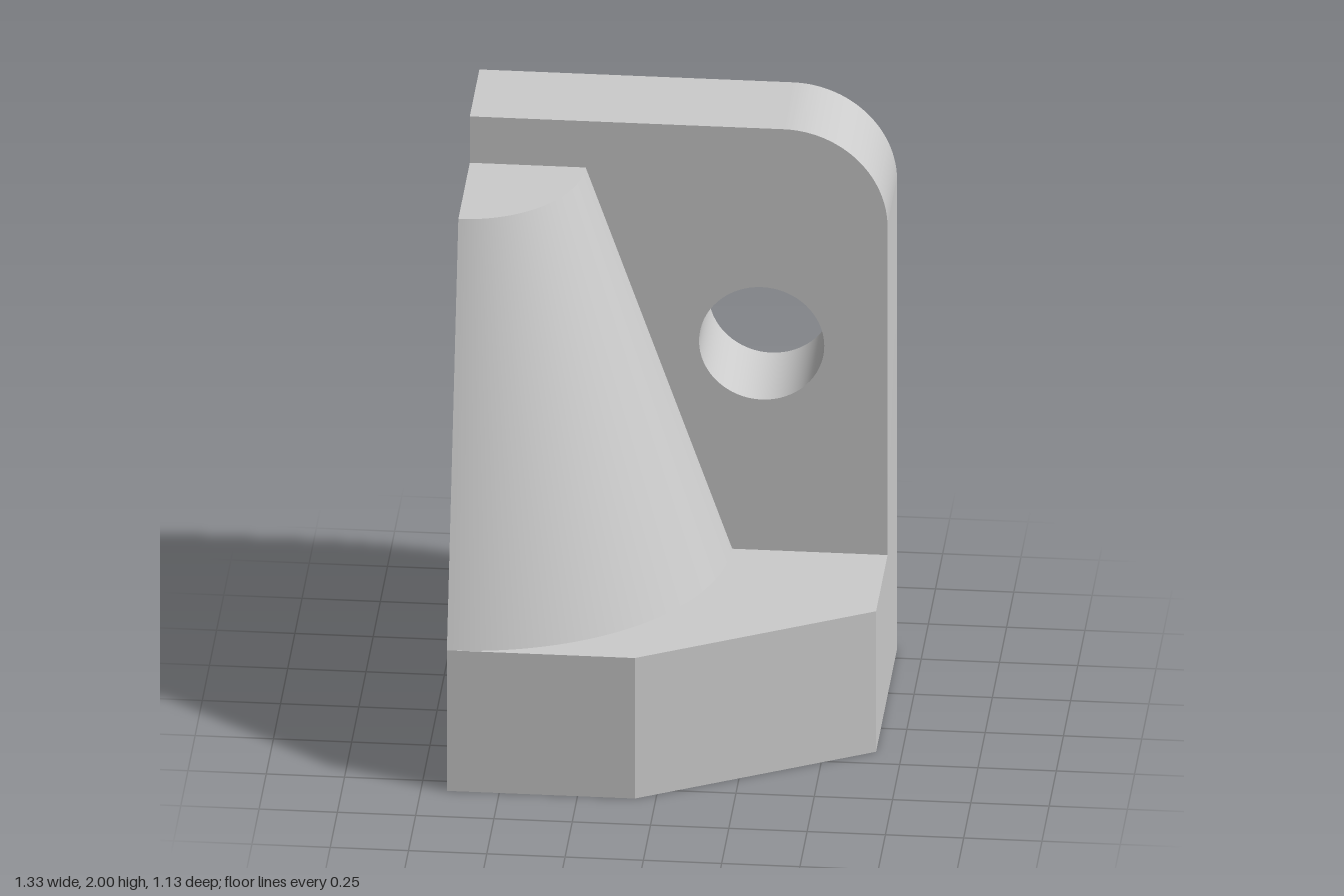
import * as THREE from 'three';
import { toCreasedNormals } from 'three/addons/utils/BufferGeometryUtils.js';

const W = 0.667, BACK = -0.567, WALL = -0.233, FRONT = 0.567;
const BASE_H = 0.5, CONE_TOP = 1.835;
const material = new THREE.MeshStandardMaterial({ color: 0xcccccc });

function polygon(points) {
  return new THREE.Shape(points.map(([x, y]) => new THREE.Vector2(x, y)));
}

function add(group, name, geometry) {
  const mesh = new THREE.Mesh(geometry, material);
  mesh.name = name;
  group.add(mesh);
}

export function createModel() {
  const model = new THREE.Group();
  model.name = 'bracket';

  // Upright plate with one rounded top corner and a through hole
  const r = 0.333;
  const plate = new THREE.Shape();
  plate.moveTo(-W, 0);
  plate.lineTo(W, 0);
  plate.lineTo(W, 2 - r);
  plate.absarc(W - r, 2 - r, r, 0, Math.PI / 2, false);
  plate.lineTo(-W, 2);
  plate.closePath();
  plate.holes.push(new THREE.Path().absarc(0.265, 1.235, 0.2, 0, Math.PI * 2, true));
  const plateGeo = new THREE.ExtrudeGeometry(plate, { depth: WALL - BACK, bevelEnabled: false, curveSegments: 32 });
  plateGeo.translate(0, 0, BACK);
  add(model, 'backPlate', toCreasedNormals(plateGeo, 0.6));

  // Foot with a chamfered front corner (outline in x, z)
  const foot = polygon([[-W, WALL], [W, WALL], [W, 0.167], [-0.067, FRONT], [-W, FRONT]]);
  const footGeo = new THREE.ExtrudeGeometry(foot, { depth: BASE_H, bevelEnabled: false });
  footGeo.rotateX(Math.PI / 2).translate(0, BASE_H, 0);
  add(model, 'foot', footGeo);

  // Quarter cone in the corner, slightly stretched in x towards its bottom
  const h = CONE_TOP - BASE_H;
  const coneGeo = new THREE.CylinderGeometry(0.4, 0.8, h, 48, 1, false, 0, Math.PI / 2);
  const p = coneGeo.attributes.position;
  for (let i = 0; i < p.count; i++) {
    p.setX(i, p.getX(i) * (p.getY(i) > 0 ? 0.37 / 0.4 : 0.838 / 0.8));
  }
  coneGeo.translate(-W, BASE_H + h / 2, WALL);
  add(model, 'quarterCone', toCreasedNormals(coneGeo, 0.6));

  // Flat side closing the quarter cone (outline in z, y)
  const side = polygon([[WALL, BASE_H], [FRONT, BASE_H], [0.167, CONE_TOP], [WALL, CONE_TOP]]);
  const sideGeo = new THREE.ShapeGeometry(side);
  sideGeo.rotateY(-Math.PI / 2).translate(-W, 0, 0);
  add(model, 'coneSide', sideGeo);

  return model;
}
